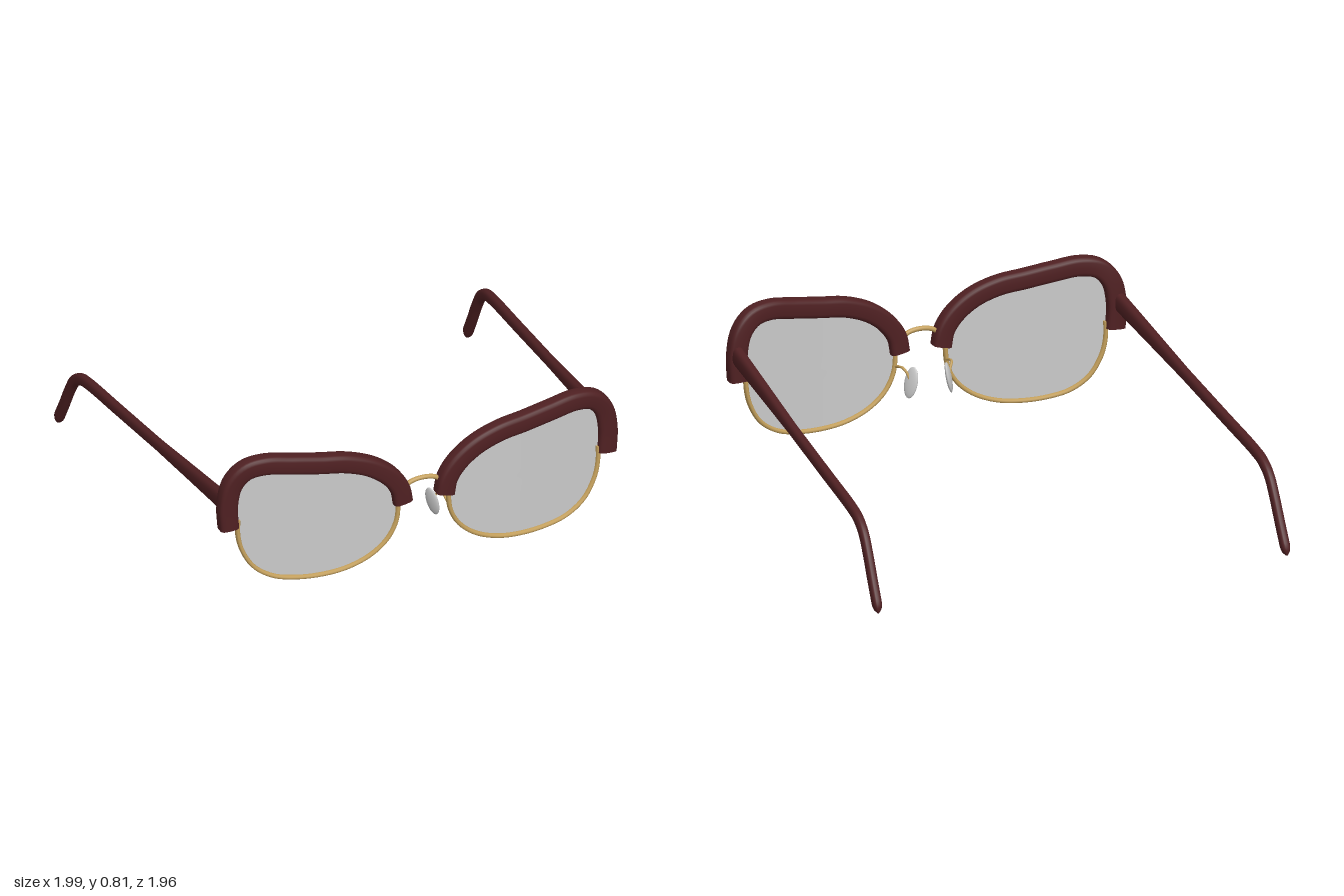
import * as THREE from 'three';

const maroon = new THREE.MeshStandardMaterial({ color: 0x4f2022 });
maroon.name = 'maroon frame';
const gold = new THREE.MeshStandardMaterial({ color: 0xc4a05c });
gold.name = 'gold metal';
const glass = new THREE.MeshStandardMaterial({ color: 0xcacaca, side: THREE.DoubleSide });
glass.name = 'pale lens';

// The whole front bows backwards towards the sides
const frontZ = (x) => 0.944 - 0.09 * x * x;
const onFront = ([x, y]) => new THREE.Vector3(x, y, frontZ(x));
const vec = (p) => new THREE.Vector3(...p);

// Sweeps a rounded section along a curve; size(t) gives [half width, half depth],
// with the depth lying along the given axis. power < 1 squares the section.
function sweep(points, axis, size, { steps = 72, sides = 20, power = 0.55 } = {}) {
  const curve = new THREE.CatmullRomCurve3(points, false, 'centripetal');
  const pos = [], index = [];
  const soft = (v) => Math.sign(v) * Math.abs(v) ** power;
  const ring = (t) => {
    const c = curve.getPointAt(t), T = curve.getTangentAt(t);
    const N = new THREE.Vector3().crossVectors(T, axis).normalize();
    const B = new THREE.Vector3().crossVectors(T, N);
    const [w, d] = size(t);
    for (let j = 0; j < sides; j++) {
      const a = (j / sides) * Math.PI * 2;
      const p = c.clone().addScaledVector(N, w * soft(Math.cos(a))).addScaledVector(B, d * soft(Math.sin(a)));
      pos.push(p.x, p.y, p.z);
    }
    return c;
  };
  for (let i = 0; i <= steps; i++) ring(i / steps);
  for (let i = 0; i < steps; i++) {
    for (let j = 0; j < sides; j++) {
      const k = (j + 1) % sides, a = i * sides, b = a + sides;
      index.push(a + j, a + k, b + k, a + j, b + k, b + j);
    }
  }
  // Flat end caps with their own vertices keep the edges sharp
  for (const t of [0, 1]) {
    const base = pos.length / 3, c = ring(t);
    pos.push(c.x, c.y, c.z);
    for (let j = 0; j < sides; j++) {
      const k = (j + 1) % sides;
      index.push(base + sides, base + (t ? j : k), base + (t ? k : j));
    }
  }
  return surface(pos, index);
}

function surface(pos, index) {
  const g = new THREE.BufferGeometry();
  g.setAttribute('position', new THREE.Float32BufferAttribute(pos, 3));
  g.setIndex(index);
  g.computeVertexNormals();
  return g;
}

// Lens: concentric rings inside a closed outline, bent to the front curve
function lensGeometry(outline) {
  const loop = new THREE.CatmullRomCurve3(outline.map(([x, y]) => new THREE.Vector3(x, y, 0)), true, 'centripetal');
  const sides = 80, rings = 10, cx = 0.49, cy = 0.44;
  const pos = [cx, cy, frontZ(cx)], index = [];
  for (let r = 1; r <= rings; r++) {
    for (let j = 0; j < sides; j++) {
      const p = loop.getPointAt(j / sides), f = r / rings;
      const x = cx + (p.x - cx) * f;
      pos.push(x, cy + (p.y - cy) * f, frontZ(x));
    }
  }
  for (let j = 0; j < sides; j++) {
    const k = (j + 1) % sides;
    index.push(0, 1 + j, 1 + k);
    for (let r = 0; r < rings - 1; r++) {
      const a = 1 + r * sides, b = a + sides;
      index.push(a + j, b + j, b + k, a + j, b + k, a + k);
    }
  }
  return surface(pos, index);
}

// Mirrored copy across x, with the corner order restored
function mirrored(geometry) {
  const g = geometry.clone().scale(-1, 1, 1), ix = g.index;
  for (let i = 0; i < ix.count; i += 3) {
    const a = ix.getX(i);
    ix.setX(i, ix.getX(i + 1));
    ix.setX(i + 1, a);
  }
  return g;
}

export function createModel() {
  const group = new THREE.Group();
  const add = (name, geometry, material) => {
    const mesh = new THREE.Mesh(geometry, material);
    mesh.name = name;
    group.add(mesh);
  };
  const addPair = (name, geometry, material) => {
    add(name + 'Left', geometry, material);
    add(name + 'Right', mirrored(geometry), material);
  };
  const Z = new THREE.Vector3(0, 0, 1), X = new THREE.Vector3(1, 0, 0);

  // Thick brow over the upper half of each lens
  const brow = [[0.9, 0.467], [0.905, 0.58], [0.882, 0.69], [0.825, 0.752], [0.74, 0.77], [0.62, 0.755],
    [0.49, 0.735], [0.365, 0.717], [0.25, 0.675], [0.163, 0.61], [0.115, 0.54], [0.1, 0.467]];
  addPair('brow', sweep(brow.map(onFront), Z, () => [0.045, 0.038]), maroon);

  // Thin metal rim round the lower half
  const rim = [[0.858, 0.5], [0.857, 0.42], [0.838, 0.34], [0.785, 0.25], [0.7, 0.192], [0.6, 0.168],
    [0.48, 0.162], [0.36, 0.177], [0.25, 0.221], [0.172, 0.288], [0.13, 0.37], [0.12, 0.46], [0.122, 0.5]];
  addPair('rim', sweep(rim.map(onFront), Z, () => [0.01, 0.016], { sides: 10, power: 0.8 }), gold);

  // Lens fills the rim and tucks into the brow
  const upper = [[0.14, 0.55], [0.185, 0.61], [0.26, 0.66], [0.37, 0.697], [0.49, 0.713],
    [0.62, 0.732], [0.74, 0.747], [0.81, 0.735], [0.86, 0.68], [0.873, 0.58]];
  addPair('lens', lensGeometry([...rim, ...upper].reverse()), glass);

  // Temples: straight arms tapering to a bent, rounded tip
  const armX = (z) => 0.913 + (0.835 - z) * 0.0345;
  const arm = [[0.835, 0.592], [0.5, 0.545], [0.2, 0.502], [-0.3, 0.432], [-0.62, 0.387], [-0.705, 0.365],
    [-0.775, 0.318], [-0.83, 0.24], [-0.89, 0.135], [-0.966, 0.008]];
  const armSize = (t) => {
    const taper = 1 - Math.min(t / 0.35, 1);
    const tip = t > 0.975 ? Math.sqrt(Math.max(1 - ((t - 0.975) / 0.025) ** 2, 0.02)) : 1;
    return [(0.027 + 0.018 * taper) * tip, (0.021 + 0.005 * taper) * tip];
  };
  addPair('temple', sweep(arm.map(([z, y]) => new THREE.Vector3(armX(z), y, z)), X, armSize,
    { steps: 120, power: 0.75 }), maroon);

  // Hinges between the brow and the temples
  addPair('hinge', new THREE.BoxGeometry(0.032, 0.05, 0.03).translate(0.91, 0.595, 0.836), gold);

  // Arched bridge
  const bridge = [[-0.09, 0.53, 0.938], [-0.055, 0.553, 0.938], [0, 0.562, 0.938], [0.055, 0.553, 0.938], [0.09, 0.53, 0.938]];
  add('bridge', new THREE.TubeGeometry(new THREE.CatmullRomCurve3(bridge.map(vec)), 24, 0.011, 10), gold);

  // Nose pads on bent wires
  const pad = new THREE.SphereGeometry(1, 24, 16).scale(0.012, 0.073, 0.036)
    .rotateY(0.5).rotateZ(0.2).translate(0.09, 0.357, 0.828);
  addPair('nosePad', pad, glass);
  const wire = [[0.122, 0.4, 0.935], [0.121, 0.415, 0.89], [0.115, 0.417, 0.855], [0.102, 0.395, 0.84], [0.094, 0.365, 0.83]];
  addPair('padWire', new THREE.TubeGeometry(new THREE.CatmullRomCurve3(wire.map(vec)), 24, 0.006, 8), gold);

  return group;
}
